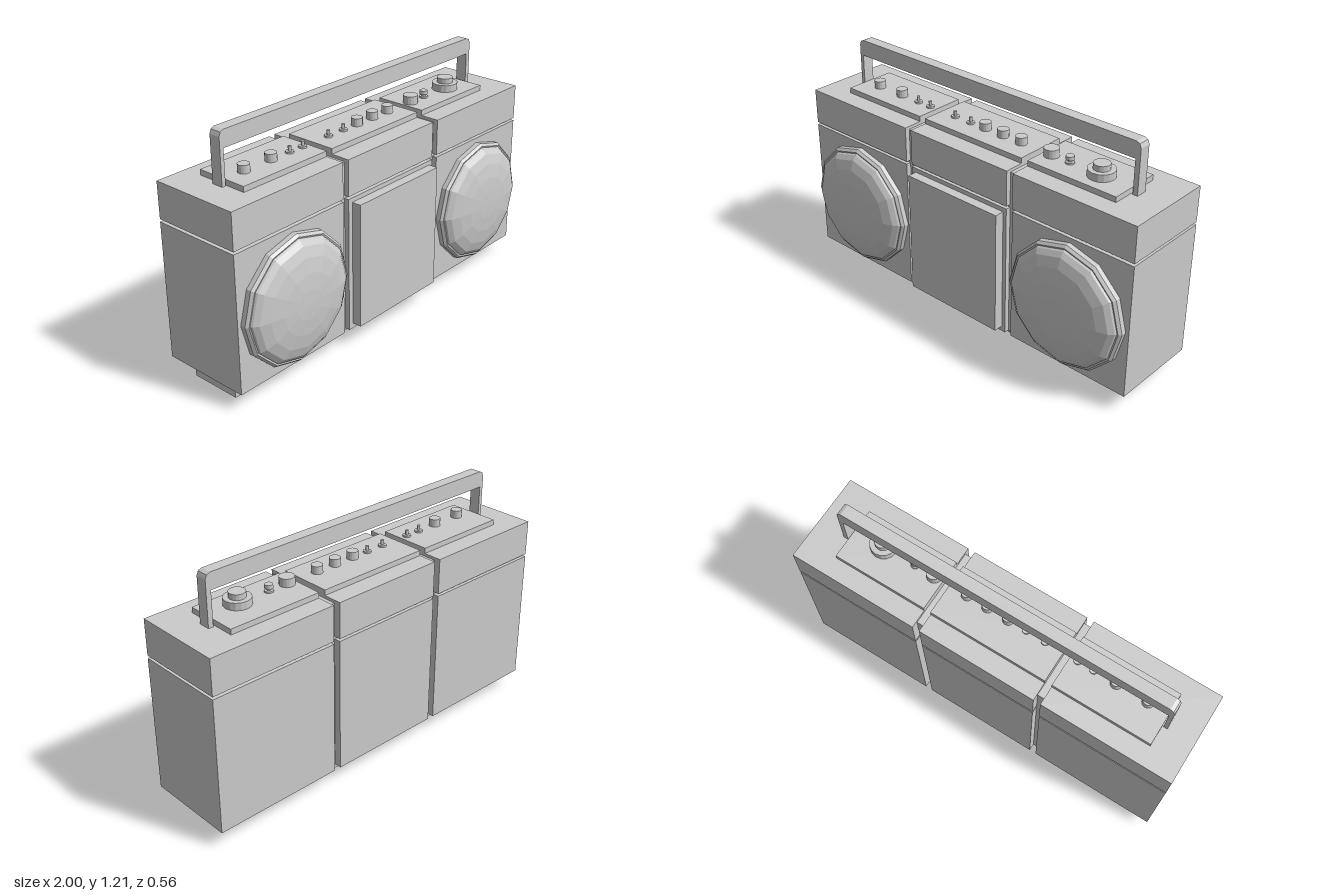
import * as THREE from 'three';

export function createModel() {
  const model = new THREE.Group();
  const mat = new THREE.MeshStandardMaterial({ color: 0xcccccc, flatShading: true });

  const add = (name, geometry, parent = model) => {
    const mesh = new THREE.Mesh(geometry, mat);
    mesh.name = name;
    parent.add(mesh);
    return mesh;
  };
  // Box given by its extents on each axis
  const box = (name, [x0, x1], [y0, y1], [z0, z1]) => {
    const mesh = add(name, new THREE.BoxGeometry(x1 - x0, y1 - y0, z1 - z0));
    mesh.position.set((x0 + x1) / 2, (y0 + y1) / 2, (z0 + z1) / 2);
    return mesh;
  };

  // Recessed core visible in the grooves between the casing blocks
  box('innerCore', [-0.97, 0.97], [0.085, 0.945], [-0.245, 0.155]);
  box('coreBase', [-0.93, 0.93], [0.065, 0.085], [-0.2, 0.1]);

  // Casing in three columns, each with lower block, upper block, base and control plate
  const columns = [
    { x: [-1, -0.34], plate: [-0.84, -0.34], base: [-0.95, -0.32] },
    { x: [-0.305, 0.3], plate: [-0.305, 0.3], base: [-0.29, 0.29] },
    { x: [0.335, 1], plate: [0.335, 0.82], base: [0.315, 0.945] },
  ];
  for (const c of columns) {
    box('lowerCasing', c.x, [0.085, 0.767], [-0.28, 0.18]);
    box('upperCasing', c.x, [0.78, 0.96], [-0.28, 0.18]);
    box('basePlate', c.base, [0.052, 0.087], [-0.23, 0.13]);
    box('controlPlate', c.plate, [0.95, 0.987], [-0.185, 0.083]);
  }

  // Feet
  box('foot', [-0.95, -0.635], [0, 0.06], [-0.18, 0.083]);
  box('foot', [0.62, 0.94], [0, 0.06], [-0.18, 0.083]);

  // Cassette door
  box('cassetteDoor', [-0.28, 0.28], [0.112, 0.745], [0.17, 0.228]);

  // Twelve-sided speakers: stepped rim and domed grille, from rim to centre
  const profile = [
    [0.318, 0.17], [0.318, 0.205], [0.306, 0.218], [0.298, 0.215],
    [0.293, 0.225], [0.27, 0.243], [0.22, 0.26], [0.15, 0.272], [0.075, 0.278], [0, 0.28],
  ].map(([r, z]) => new THREE.Vector2(r, z));
  for (const side of [-1, 1]) {
    const speaker = add('speaker', new THREE.LatheGeometry(profile, 12).rotateX(Math.PI / 2));
    speaker.position.set(side * 0.665, 0.425, 0);
  }

  // Carrying handle: arch with chamfered top corners
  const handle = new THREE.Shape();
  [[-0.865, 0.95], [-0.845, 0.95], [-0.845, 1.13], [0.83, 1.13], [0.83, 0.95], [0.855, 0.95],
    [0.855, 1.185], [0.847, 1.204], [0.83, 1.212], [-0.84, 1.212], [-0.857, 1.204], [-0.865, 1.185],
  ].forEach(([x, y], i) => (i ? handle.lineTo(x, y) : handle.moveTo(x, y)));
  add('handle', new THREE.ExtrudeGeometry(handle, { depth: 0.058, bevelEnabled: false }))
    .position.z = -0.079;

  // Controls on top
  const controls = new THREE.Group();
  controls.name = 'controls';
  controls.position.set(0, 0.98, -0.027);
  model.add(controls);
  const knob = (name, x, r, top, bottom = 0.98) => {
    const mesh = add(name, new THREE.CylinderGeometry(r, r, top - bottom, 16), controls);
    mesh.position.set(x, (top + bottom) / 2 - 0.98, 0);
  };
  for (const x of [-0.735, -0.575, -0.015, 0.095, 0.205]) knob('knob', x, 0.028, 1.026);
  knob('knob', 0.383, 0.037, 1.028);

  // Slim switches with a small collar
  for (const x of [-0.46, -0.378, -0.21, -0.11]) {
    knob('switchCollar', x, 0.02, 0.996);
    knob('switchStem', x, 0.008, 1.02);
  }
  knob('buttonStem', 0.487, 0.01, 1.01);
  knob('buttonCollar', 0.487, 0.022, 0.995);
  knob('buttonCap', 0.487, 0.02, 1.024, 1.005);

  // Large stepped dial
  knob('dialBase', 0.66, 0.065, 1.023);
  knob('dialTop', 0.66, 0.04, 1.05);

  return model;
}
